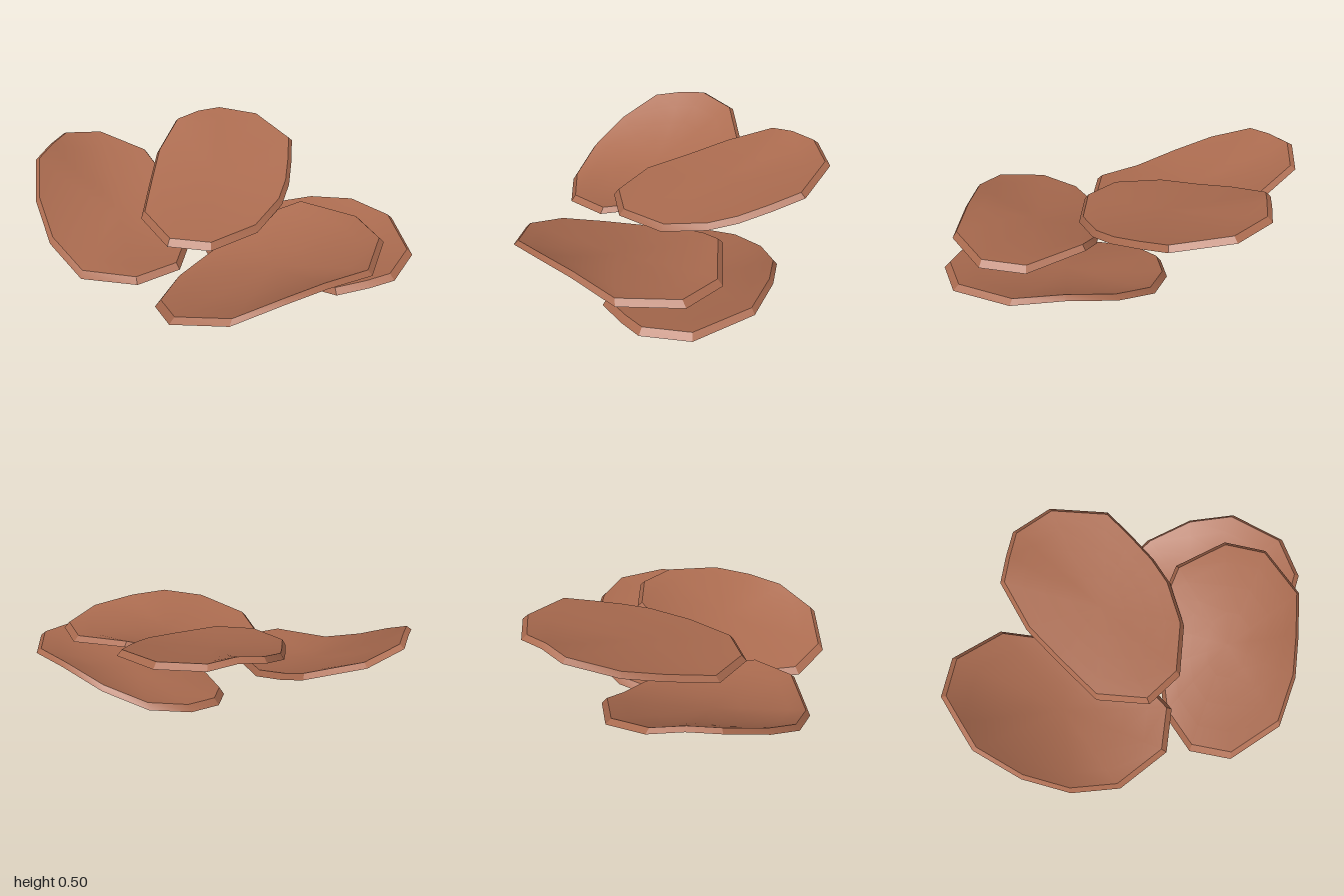
import * as THREE from 'three';
import { toCreasedNormals } from 'three/addons/utils/BufferGeometryUtils.js';

// Each petal: centre, slope along x and z, and a rim of [x, y, z] running clockwise seen from above
const petals = {
  topPetal: {
    centre: [-0.1, 0.335, -0.2], slope: [-0.09, -0.21],
    rim: [[-0.1, 0.477, -0.78], [0.17, 0.437, -0.64], [0.23, 0.39, -0.48], [0.28, 0.345, -0.32],
      [0.3, 0.31, -0.17], [0.26, 0.265, 0.06], [0.11, 0.253, 0.29], [-0.1, 0.253, 0.35],
      [-0.33, 0.27, 0.21], [-0.42, 0.33, -0.04], [-0.49, 0.39, -0.25], [-0.505, 0.475, -0.51],
      [-0.42, 0.5, -0.62], [-0.33, 0.492, -0.735]],
  },
  frontLeftPetal: {
    centre: [0.42, 0.205, 0.25], slope: [0.23, -0.03],
    rim: [[0.38, 0.3, -0.25], [0.69, 0.28, -0.26], [0.86, 0.283, -0.11], [0.885, 0.293, 0.19],
      [0.74, 0.322, 0.405], [0.61, 0.322, 0.585], [0.425, 0.263, 0.755], [0.14, 0.18, 0.775],
      [-0.015, 0.12, 0.635], [-0.035, 0.097, 0.4], [0.05, 0.14, 0.18], [0.17, 0.21, 0],
      [0.28, 0.265, -0.17]],
  },
  backLeftPetal: {
    centre: [0.42, 0.11, -0.12], slope: [0.19, 0],
    rim: [[0.35, 0.168, -0.515], [0.6, 0.238, -0.485], [0.83, 0.243, -0.4], [1, 0.226, -0.145],
      [0.97, 0.215, 0.08], [0.88, 0.205, 0.17], [0.75, 0.188, 0.27], [0.45, 0.14, 0.22],
      [0.2, 0.05, 0.17], [0.08, 0.018, 0.14], [-0.07, 0.018, 0], [-0.11, 0.028, -0.15],
      [-0.04, 0.05, -0.32], [0.12, 0.09, -0.46]],
  },
  rightPetal: {
    centre: [-0.5, 0.215, 0.17], slope: [-0.29, -0.1],
    rim: [[-0.61, 0.34, -0.325], [-0.49, 0.29, -0.26], [-0.32, 0.24, -0.17], [-0.16, 0.21, 0.02],
      [-0.05, 0.19, 0.22], [0, 0.187, 0.41], [-0.13, 0.18, 0.595], [-0.42, 0.153, 0.645],
      [-0.65, 0.24, 0.565], [-0.83, 0.355, 0.415], [-0.97, 0.462, 0.21], [-0.985, 0.48, 0.06],
      [-1, 0.476, -0.095], [-0.88, 0.427, -0.27]],
  },
};

// Rings as [radius fraction, height offset]: upper face, sloping edge, lower face
const HALF = 0.016;
const rings = [[0.3, HALF], [0.55, HALF], [0.78, HALF], [0.95, HALF], [1, -HALF],
  [0.78, -HALF], [0.55, -HALF], [0.3, -HALF]];

// A cupped disc: a tilted plane in the middle that bends quadratically to meet its rim
function petalGeometry({ centre: [cx, cy, cz], slope: [sx, sz], rim }) {
  const n = rim.length;
  const points = [];
  const index = [];
  for (const [r, offset] of rings) {
    for (const [x, y, z] of rim) {
      const tilt = sx * (x - cx) + sz * (z - cz);
      const bend = y - cy - tilt;
      points.push(cx + (x - cx) * r, cy + tilt * r + bend * r * r + offset, cz + (z - cz) * r);
    }
  }
  const top = rings.length * n;
  points.push(cx, cy + HALF, cz, cx, cy - HALF, cz);
  const last = top - n;
  for (let i = 0; i < n; i++) {
    const j = (i + 1) % n;
    index.push(top, j, i, top + 1, last + i, last + j);
    for (let k = 0; k < rings.length - 1; k++) {
      const a = k * n;
      const b = a + n;
      index.push(a + i, a + j, b + i, a + j, b + j, b + i);
    }
  }
  const geometry = new THREE.BufferGeometry();
  geometry.setAttribute('position', new THREE.Float32BufferAttribute(points, 3));
  geometry.setIndex(index);
  return toCreasedNormals(geometry, 0.42);
}

export function createModel() {
  const group = new THREE.Group();
  group.name = 'petals';
  const material = new THREE.MeshStandardMaterial({ color: 0xac6c50 });
  material.name = 'terracotta';
  for (const [name, petal] of Object.entries(petals)) {
    const mesh = new THREE.Mesh(petalGeometry(petal), material);
    mesh.name = name;
    group.add(mesh);
  }
  return group;
}
